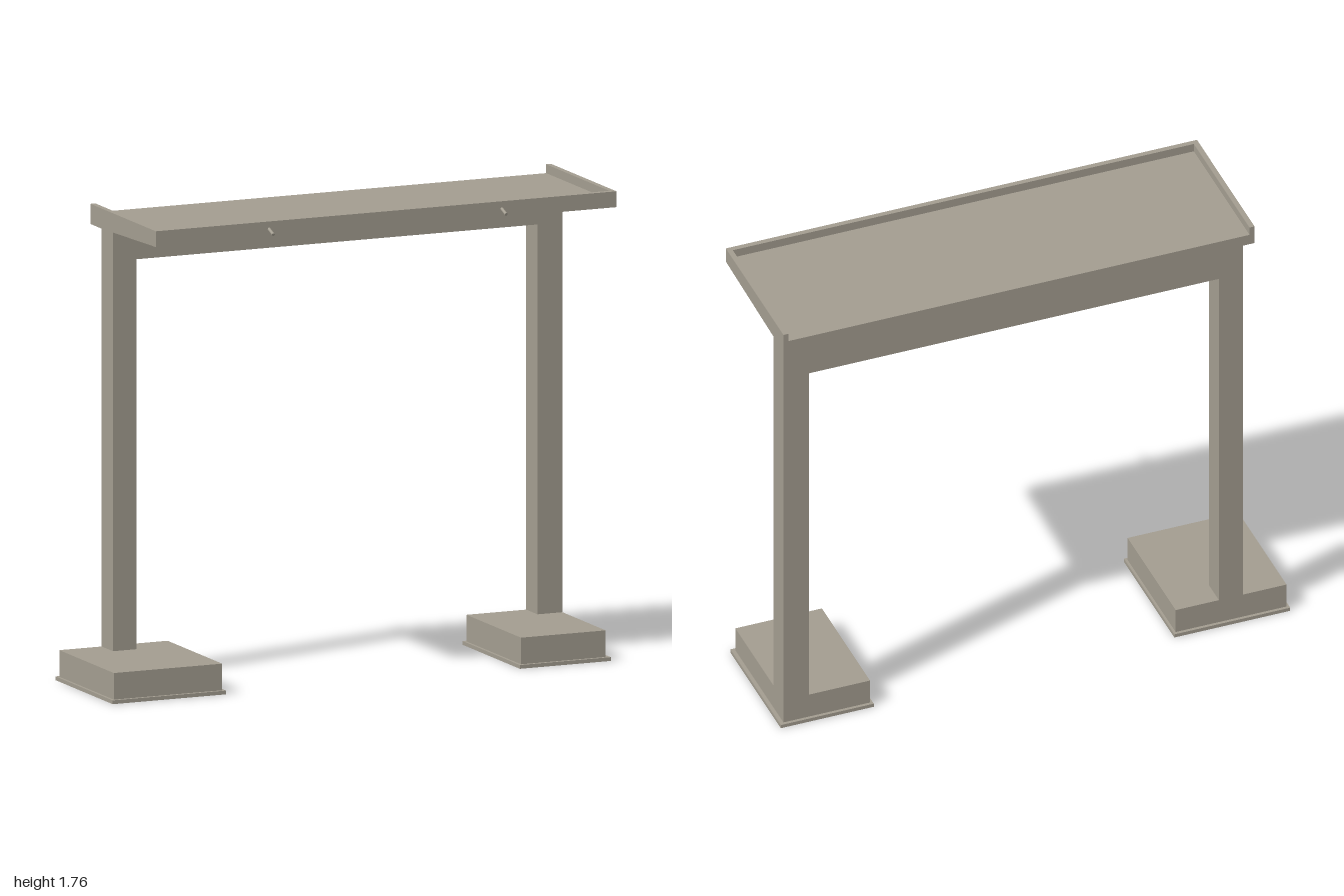
import * as THREE from 'three';

export function createModel() {
  const model = new THREE.Group();
  model.name = 'concreteShelter';
  const concrete = new THREE.MeshStandardMaterial({ color: 0xa39d90 });
  concrete.name = 'warm grey concrete';

  const add = (name, geometry) => {
    const mesh = new THREE.Mesh(geometry, concrete);
    mesh.name = name;
    model.add(mesh);
    return mesh;
  };
  const box = (name, x0, x1, y0, y1, z0, z1) => add(name,
    new THREE.BoxGeometry(x1 - x0, y1 - y0, z1 - z0)
      .translate((x0 + x1) / 2, (y0 + y1) / 2, (z0 + z1) / 2));
  const shapeOf = (points) => new THREE.Shape(points.map(([a, b]) => new THREE.Vector2(a, b)));
  // Extrudes a (z, y) profile from x0 to x1
  const extrudeX = (name, points, x0, x1) => add(name,
    new THREE.ExtrudeGeometry(shapeOf(points), { depth: x1 - x0, bevelEnabled: false })
      .rotateY(-Math.PI / 2).translate(x1, 0, 0));

  const back = -0.302, columnFront = -0.202, front = 0.276, rim = 0.02;
  const slabTop = 1.732, rimTop = 1.765, under = 1.69, underFront = 1.706;
  const left = 0.985, right = -0.865;
  const footingTop = 0.113, plinthTop = 0.014;

  // Footings on thin blinding pads
  for (const [side, x0, x1, outer0, outer1] of [
    ['right', -0.99, -0.555, -1, -0.545],
    ['left', 0.645, 0.985, 0.635, 1],
  ]) {
    box(side + 'BasePad', outer0, outer1, 0, plinthTop, -0.314, 0.192);
    box(side + 'Footing', x0, x1, plinthTop, footingTop, back, 0.18);
  }

  // Portal frame: two columns and the beam across them
  const portal = shapeOf([
    [-0.82, footingTop], [-0.725, footingTop], [-0.725, 1.565], [0.885, 1.565],
    [0.885, footingTop], [left, footingTop], [left, under], [-0.82, under],
  ]);
  add('portalFrame', new THREE.ExtrudeGeometry(portal,
    { depth: columnFront - back, bevelEnabled: false }).translate(0, 0, back));

  // Tapered roof slab with an upstand along its front edge
  extrudeX('roofSlab', [
    [back, under], [columnFront, under], [front, underFront], [front, rimTop],
    [front - rim, rimTop], [front - rim, slabTop], [back, slabTop],
  ], right + rim, left - rim);

  // Side upstands
  const sideProfile = [
    [back, under], [columnFront, under], [front, underFront], [front, rimTop], [back, rimTop],
  ];
  extrudeX('rightUpstand', sideProfile, right, right + rim);
  extrudeX('leftUpstand', sideProfile, left - rim, left);

  // Drain spouts sloping down from the front edge
  for (const x of [-0.41, 0.525]) {
    const spout = add('drainSpout', new THREE.CylinderGeometry(0.006, 0.006, 0.05, 12));
    spout.rotation.x = Math.PI / 2 + 0.35;
    spout.position.set(x, 1.731, 0.29);
  }
  return model;
}
